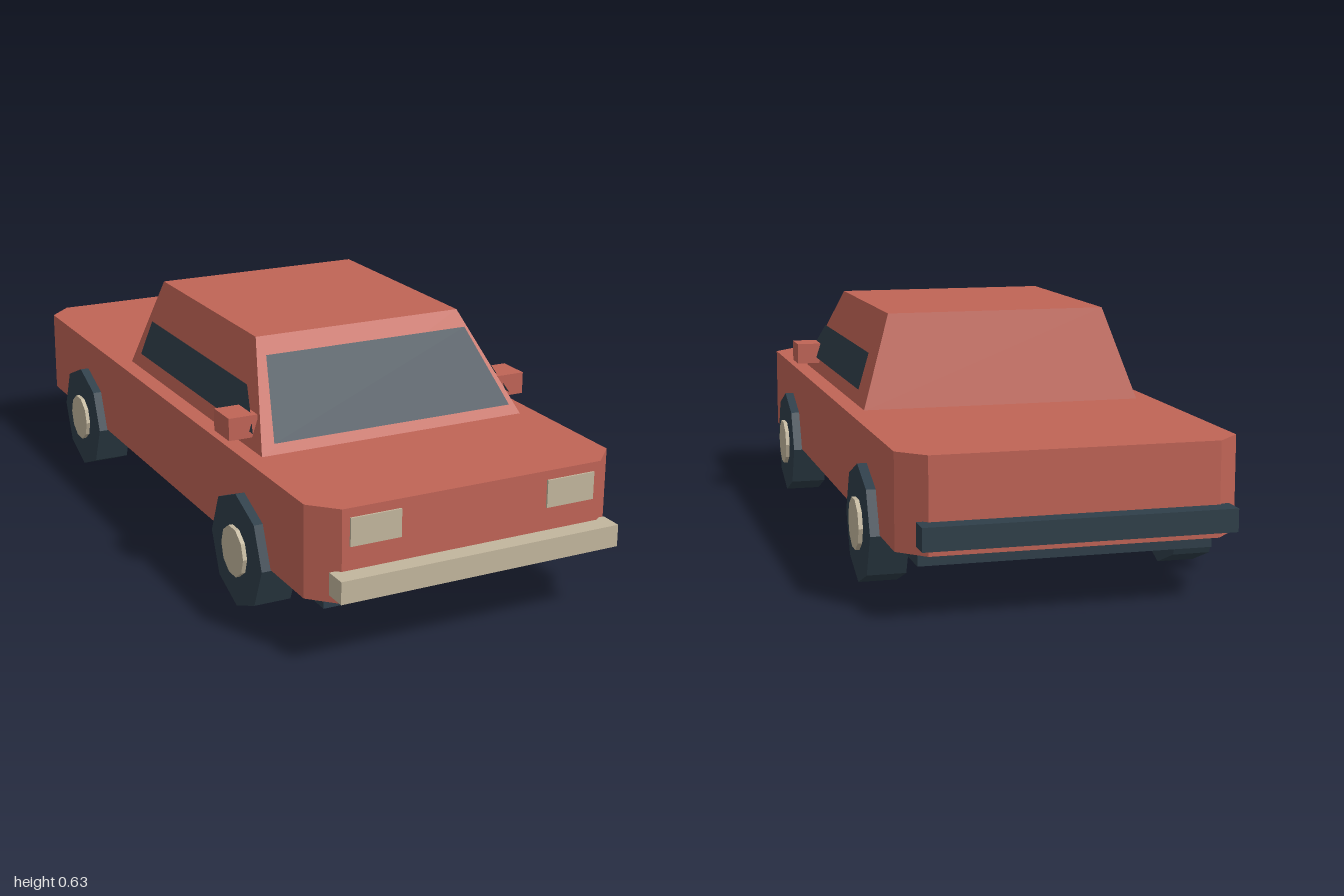
import * as THREE from 'three';

const paint = (name, color, extra = {}) => {
  const m = new THREE.MeshStandardMaterial({ color, flatShading: true, ...extra });
  m.name = name;
  return m;
};

export function createModel() {
  const red = paint('red paint', 0xc06456);
  const dark = paint('dark rubber and trim', 0x2f3f4a);
  const glass = paint('dark glass', 0x2f3f4a, { side: THREE.DoubleSide });
  const cream = paint('cream trim', 0xc2b69d);
  const car = new THREE.Group();
  car.name = 'car';

  const add = (name, geometry, material, x = 0, y = 0, z = 0) => {
    const mesh = new THREE.Mesh(geometry, material);
    mesh.name = name;
    mesh.position.set(x, y, z);
    car.add(mesh);
    return mesh;
  };
  const box = (w, h, d) => new THREE.BoxGeometry(w, h, d);

  // Four-cornered pane, corners counter-clockwise seen from outside
  const pane = (corners) => {
    const g = new THREE.BufferGeometry();
    g.setAttribute('position', new THREE.Float32BufferAttribute(corners.flat(), 3));
    g.setIndex([0, 1, 2, 0, 2, 3]);
    g.computeVertexNormals();
    return g;
  };

  // Lower body: slab with cut corners
  const outline = new THREE.Shape([
    [0.42, -0.885], [0.42, 0.885], [0.355, 0.95], [-0.355, 0.95],
    [-0.42, 0.885], [-0.42, -0.885], [-0.355, -0.95], [0.355, -0.95],
  ].map(([x, y]) => new THREE.Vector2(x, y)));
  const slab = new THREE.ExtrudeGeometry(outline, { depth: 0.235, bevelEnabled: false });
  slab.rotateX(-Math.PI / 2);
  add('body', slab, red, 0, 0.152, 0);
  add('underside', box(0.73, 0.06, 1.76), dark, 0, 0.142, 0);

  // Cabin: box tapered towards the roof
  const cabin = box(2, 2, 2);
  const p = cabin.attributes.position;
  for (let i = 0; i < p.count; i++) {
    const top = p.getY(i) > 0, front = p.getZ(i) > 0;
    p.setXYZ(i, Math.sign(p.getX(i)) * (top ? 0.295 : 0.375), top ? 0.63 : 0.385,
      front ? (top ? 0.36 : 0.565) : (top ? -0.255 : -0.32));
  }
  cabin.computeVertexNormals();
  add('cabin', cabin, red);

  // Panes float just off the cabin
  add('windscreen', pane([
    [-0.34, 0.416, 0.562], [0.34, 0.416, 0.562], [0.29, 0.595, 0.411], [-0.29, 0.595, 0.411],
  ]), glass);

  for (const s of [1, -1]) {
    const side = s > 0 ? 'left' : 'right';
    const corners = [
      [s * 0.374, 0.43, 0.51], [s * 0.374, 0.43, -0.245],
      [s * 0.343, 0.525, -0.232], [s * 0.343, 0.525, 0.41],
    ];
    add(side + 'SideWindow', pane(s > 0 ? corners : corners.reverse()), glass);
    add(side + 'Mirror', box(0.078, 0.058, 0.09), red, s * 0.39, 0.442, 0.443);
    add(side + 'Headlight', box(0.134, 0.071, 0.008), cream, s * 0.268, 0.328, 0.951);

    // Wheels with hubcaps
    for (const [end, z] of [['front', 0.557], ['rear', -0.573]]) {
      const tyre = new THREE.CylinderGeometry(0.15, 0.15, 0.098, 8).rotateZ(Math.PI / 2);
      const hub = new THREE.CylinderGeometry(0.066, 0.066, 0.03, 10).rotateZ(Math.PI / 2);
      add(`${end} ${side} wheel`, tyre, dark, s * 0.395, 0.15, z);
      add(`${end} ${side} hubcap`, hub, cream, s * 0.44, 0.15, z);
    }
  }

  // Bumpers
  add('frontBumper', box(0.764, 0.057, 0.06), cream, 0, 0.204, 0.97);
  add('rearBumper', box(0.764, 0.057, 0.06), dark, 0, 0.204, -0.97);

  return car;
}
